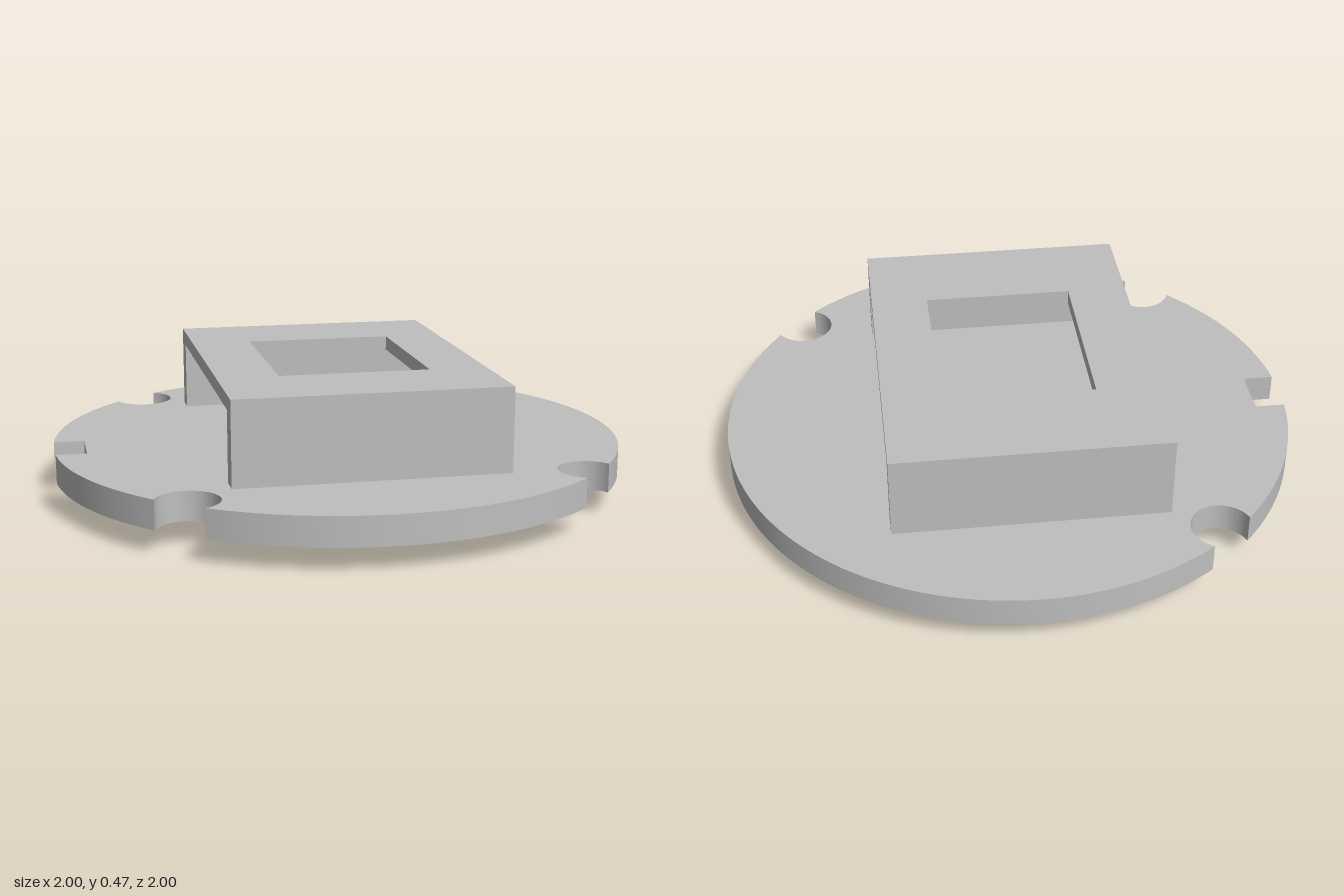
import * as THREE from 'three';
import { toCreasedNormals } from 'three/addons/utils/BufferGeometryUtils.js';

const grey = new THREE.MeshStandardMaterial({ color: 0xbfbfbf });
grey.name = 'plain grey';

// Extrudes a shape drawn in (x, -z) upwards from y = bottom to y = top
function slab(shape, bottom, top) {
  const geometry = new THREE.ExtrudeGeometry(shape, {
    depth: top - bottom, bevelEnabled: false, curveSegments: 32,
  });
  geometry.rotateX(-Math.PI / 2).translate(0, bottom, 0);
  return toCreasedNormals(geometry, 0.5);
}

function rectangle(PathType, x0, x1, z0, z1) {
  return new PathType([[x0, -z1], [x1, -z1], [x1, -z0], [x0, -z0]]
    .map(([x, y]) => new THREE.Vector2(x, y)));
}

function addMesh(parent, name, geometry) {
  const mesh = new THREE.Mesh(geometry, grey);
  mesh.name = name;
  parent.add(mesh);
}

// Box given by its limits on each axis
function addBlock(parent, name, [x0, x1], [y0, y1], [z0, z1]) {
  const geometry = new THREE.BoxGeometry(x1 - x0, y1 - y0, z1 - z0);
  geometry.translate((x0 + x1) / 2, (y0 + y1) / 2, (z0 + z1) / 2);
  addMesh(parent, name, geometry);
}

// Unit disc outline with three round notches and one square keyway
function discOutline() {
  const shape = new THREE.Shape();
  const r = 0.105;
  let angle = 0;
  const rimTo = (end) => {
    shape.absarc(0, 0, 1, angle, end, false);
    angle = end;
  };
  const roundNotch = (x, z) => {
    const y = -z;
    const d = Math.hypot(x, y);
    const a = (Math.atan2(y, x) + 2 * Math.PI) % (2 * Math.PI);
    const half = Math.acos((d * d + 1 - r * r) / (2 * d));
    const theta = Math.atan2(Math.sin(half), Math.cos(half) - d);
    rimTo(a - half);
    shape.absarc(x, y, r, a - theta, a + theta, true);
    angle = a + half;
  };
  roundNotch(-0.62, -0.725);
  rimTo(Math.PI - Math.asin(0.09));
  shape.lineTo(-0.89, 0.09);
  shape.lineTo(-0.89, -0.085);
  angle = Math.PI + Math.asin(0.085);
  roundNotch(-0.62, 0.72);
  roundNotch(0.72, 0.64);
  rimTo(2 * Math.PI);
  return shape;
}

export function createModel() {
  const model = new THREE.Group();
  model.name = 'notchedDiscWithBracket';

  addMesh(model, 'disc', slab(discOutline(), 0.08, 0.18));

  // Raised bracket: windowed top on two legs
  const bracket = new THREE.Group();
  bracket.name = 'bracket';
  model.add(bracket);
  const top = rectangle(THREE.Shape, -0.47, 0.46, -0.635, 0.63);
  top.holes.push(rectangle(THREE.Path, -0.26, 0.26, -0.315, 0.31));
  addMesh(bracket, 'bracketTop', slab(top, 0.42, 0.47));
  addBlock(bracket, 'frontLeg', [-0.47, 0.46], [0.18, 0.42], [0.55, 0.63]);
  addBlock(bracket, 'backLeg', [-0.47, 0.46], [0.18, 0.42], [-0.635, -0.555]);

  // Ribs under the disc
  addBlock(model, 'frontRib', [-0.055, 0.715], [0, 0.08], [0.47, 0.535]);
  addBlock(model, 'backRib', [-0.055, 0.715], [0, 0.08], [-0.53, -0.47]);
  addBlock(model, 'crossRib', [-0.285, -0.225], [0, 0.08], [-0.31, 0.31]);

  return model;
}
